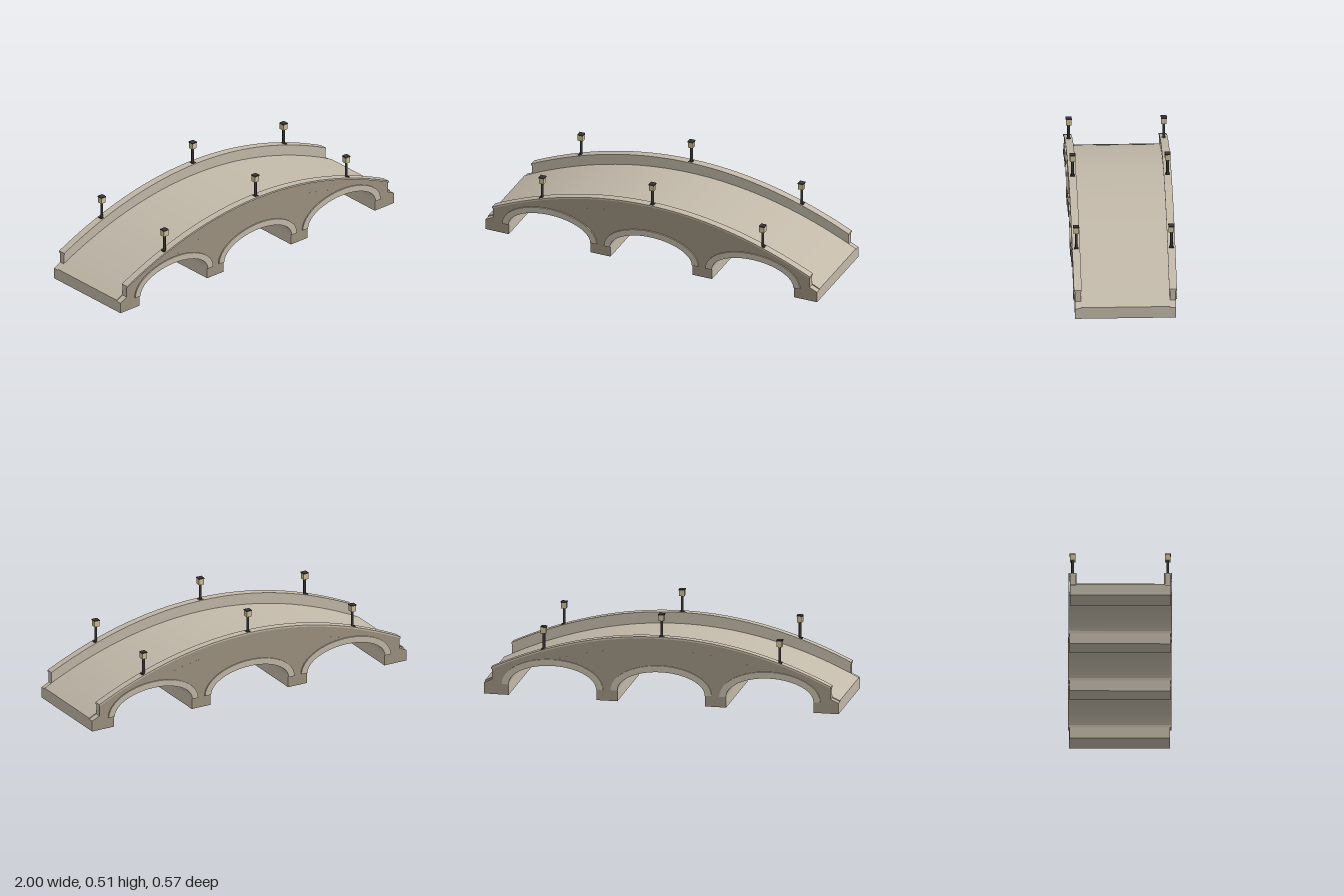
import * as THREE from 'three';

const paint = (name, color) => {
  const m = new THREE.MeshStandardMaterial({ color });
  m.name = name;
  return m;
};

export function createModel() {
  const lightStone = paint('light stone', 0xc2b9a9);
  const darkStone = paint('dark stone', 0x9c9180);
  const iron = paint('dark iron', 0x383434);
  const glass = paint('lantern glass', 0xcdbe97);

  const bridge = new THREE.Group();
  bridge.name = 'bridge';

  const SPRING = 0.062, HALF_SPAN = 0.247, RISE = 0.12;
  const CENTRES = [-0.613, 0, 0.613];
  const WALL_Z = 0.278;

  // road curve, raised by an offset
  const road = (x, lift = 0) => 0.317 - 0.249 * x * x + lift;
  const curve = (half, lift, n = 40) => Array.from({ length: n + 1 }, (_, i) => {
    const x = -half + (2 * half * i) / n;
    return new THREE.Vector2(x, road(x, lift));
  });
  // half ellipse from left to right over an arch
  const arch = (cx, rx, ry, n = 24) => Array.from({ length: n + 1 }, (_, i) => {
    const a = Math.PI * (1 - i / n);
    return new THREE.Vector2(cx + rx * Math.cos(a), SPRING + ry * Math.sin(a));
  });

  const add = (parent, name, geometry, material) => {
    const mesh = new THREE.Mesh(geometry, material);
    mesh.name = name;
    parent.add(mesh);
    return mesh;
  };
  // extrude an outline between two z positions
  const slab = (name, points, z0, z1, material) => {
    const g = new THREE.ExtrudeGeometry(new THREE.Shape(points), { depth: z1 - z0, bevelEnabled: false });
    g.translate(0, 0, z0);
    return add(bridge, name, g, material);
  };
  const strip = (half, low, high) => [...curve(half, low), ...curve(half, high).reverse()];

  // body with three vaults: dark faces, light vaults and ends
  const outline = [new THREE.Vector2(-1, 0)];
  for (const c of CENTRES) {
    outline.push(new THREE.Vector2(c - HALF_SPAN, 0), ...arch(c, HALF_SPAN, RISE),
      new THREE.Vector2(c + HALF_SPAN, 0));
  }
  outline.push(new THREE.Vector2(1, 0), ...curve(1, -0.006).reverse());
  slab('body', outline, -WALL_Z, WALL_Z, [darkStone, lightStone]);

  // road surface
  slab('deck', strip(1, -0.006, 0), -0.245, 0.245, lightStone);

  for (const side of [1, -1]) {
    const between = (name, points, a, b, material) =>
      slab(name, points, Math.min(a * side, b * side), Math.max(a * side, b * side), material);

    // parapet: light inside, dark outer skin level with the body face
    between('parapet', strip(0.955, -0.006, 0.055), 0.245, 0.274, lightStone);
    between('parapetFace', strip(0.955, -0.006, 0.055), 0.274, WALL_Z, darkStone);
    between('coping', strip(0.958, 0.055, 0.065), 0.241, 0.284, lightStone);

    // raised rings round the arches
    for (const c of CENTRES) {
      between('archRing', [...arch(c, HALF_SPAN, RISE), ...arch(c, 0.285, 0.156).reverse()],
        WALL_Z, 0.285, lightStone);
    }

    // lamps standing on the parapet
    for (const x of [-0.665, 0, 0.665]) {
      const lamp = new THREE.Group();
      lamp.name = 'lamp';
      lamp.position.set(x, road(x, 0.063), side * 0.262);
      bridge.add(lamp);
      const foot = add(lamp, 'lampFoot', new THREE.BoxGeometry(0.027, 0.008, 0.027), iron);
      foot.position.y = -0.001;
      const post = add(lamp, 'lampPost', new THREE.CylinderGeometry(0.008, 0.008, 0.095, 8), iron);
      post.position.y = 0.046;
      const lantern = add(lamp, 'lantern', new THREE.BoxGeometry(0.03, 0.033, 0.03), glass);
      lantern.position.y = 0.109;
      const cap = add(lamp, 'lanternCap', new THREE.BoxGeometry(0.033, 0.006, 0.033), iron);
      cap.position.y = 0.1285;
    }
  }

  return bridge;
}
